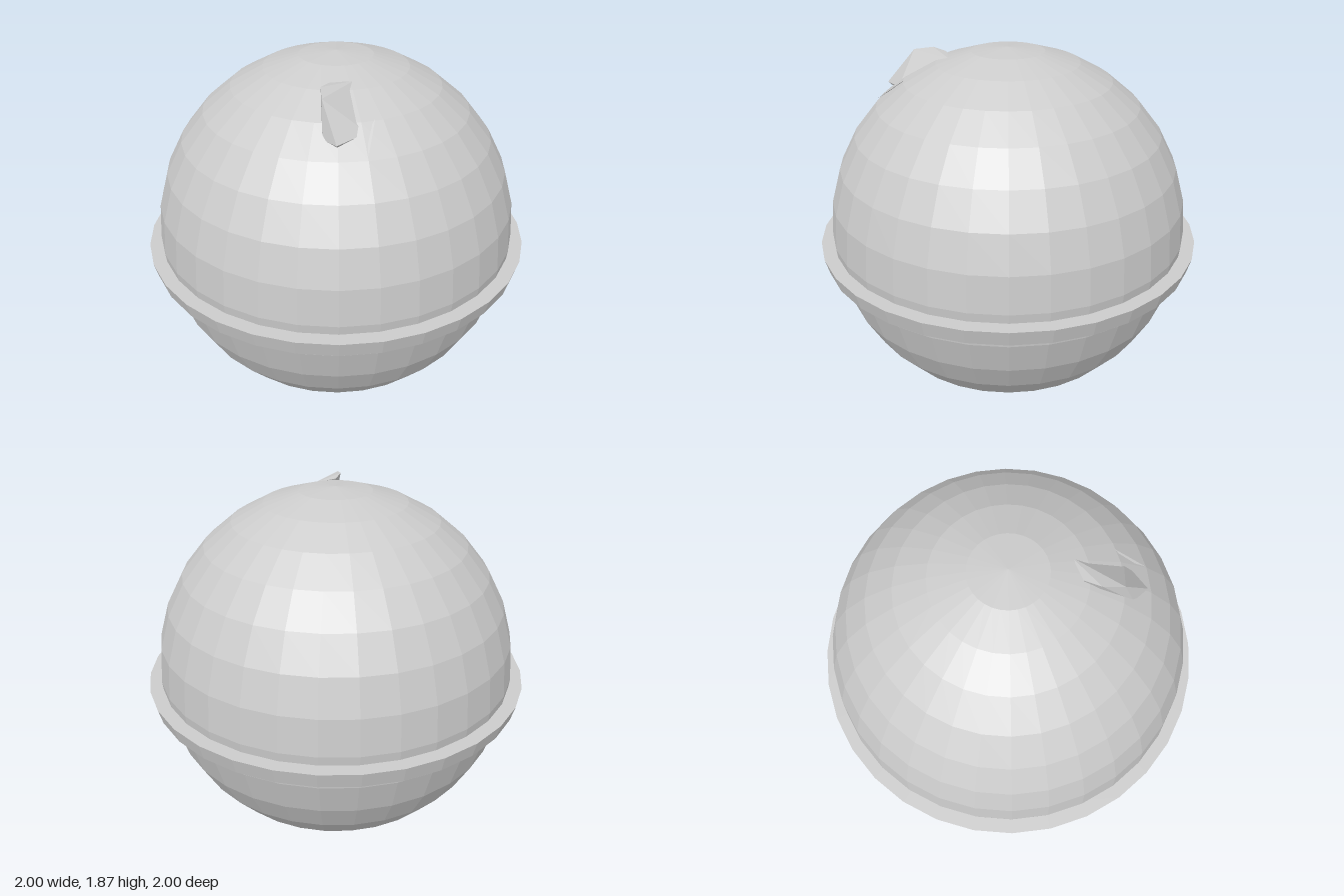
import * as THREE from 'three';
import { ConvexGeometry } from 'three/addons/geometries/ConvexGeometry.js';

const R = 0.936;
const material = new THREE.MeshStandardMaterial({
  color: 0xcccccc, flatShading: true, side: THREE.DoubleSide,
});

export function createModel() {
  const group = new THREE.Group();
  const add = (name, geometry) => {
    const mesh = new THREE.Mesh(geometry, material);
    mesh.name = name;
    group.add(mesh);
    return mesh;
  };

  // Faceted ball
  add('ball', new THREE.SphereGeometry(R, 32, 16)).position.y = R;

  // Flared band just below the equator, its inner wall sunk into the ball
  const band = [[0.91, 0.81], [0.98, 0.81], [1, 0.89], [0.91, 0.89], [0.91, 0.81]];
  add('band', new THREE.LatheGeometry(band.map(([r, y]) => new THREE.Vector2(r, y)), 32));

  // Angular chip standing out of the upper front, with its root inside the ball
  const chip = [
    [0.02, 1.818, 0.29], [0.02, 1.675, 0.545], [-0.13, 1.66, 0.62],
    [-0.175, 1.66, 0.54], [-0.165, 1.82, 0.48], [-0.1, 1.825, 0.31],
    [-0.15, 1.835, 0.38], [-0.06, 1.5, 0.4],
  ];
  add('chip', new ConvexGeometry(chip.map((p) => new THREE.Vector3(...p))));

  // Thin splinter beside the chip
  const splinter = new THREE.BufferGeometry();
  splinter.setAttribute('position', new THREE.Float32BufferAttribute(
    [0.065, 1.722, 0.51, 0.02, 1.68, 0.55, 0, 1.612, 0.655], 3));
  splinter.computeVertexNormals();
  add('splinter', splinter);

  return group;
}
